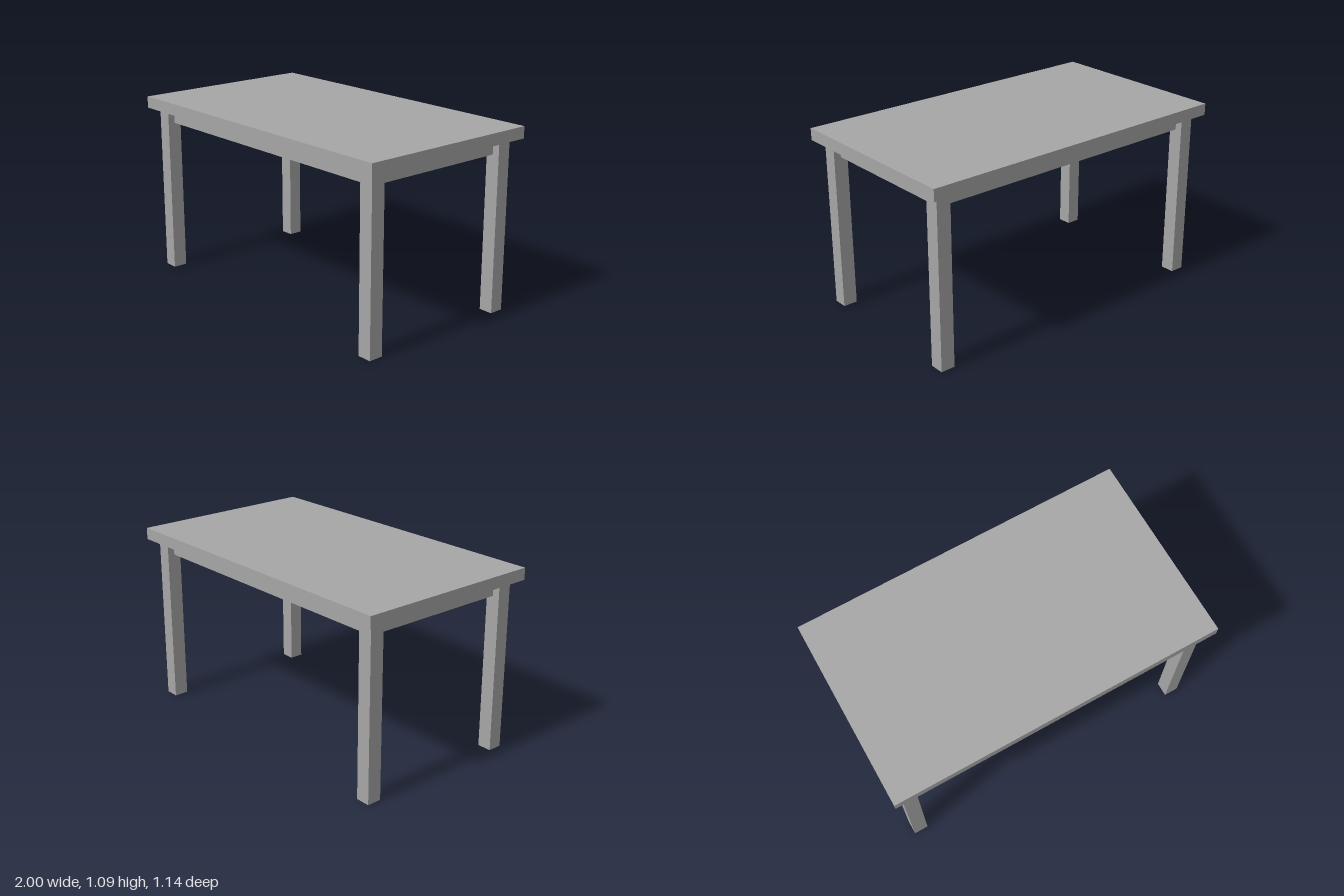
import * as THREE from 'three';

export function createModel() {
  const table = new THREE.Group();
  table.name = 'table';
  const grey = new THREE.MeshStandardMaterial({ color: 0xa6a6a6 });
  grey.name = 'grey';

  // Box standing on height y
  const addBox = (name, w, h, d, x, y, z) => {
    const mesh = new THREE.Mesh(new THREE.BoxGeometry(w, h, d), grey);
    mesh.name = name;
    mesh.position.set(x, y + h / 2, z);
    table.add(mesh);
  };

  const legHeight = 1.017, legSize = 0.086;
  const legX = 0.903, legZ = 0.475;
  const apronHeight = 0.086;

  // Table top
  addBox('tableTop', 2, 0.07, 1.144, 0, legHeight, 0);

  // Solid apron block, its faces meeting the legs at their middles
  addBox('apron', legX * 2, apronHeight, legZ * 2, 0, legHeight - apronHeight, 0);

  // Four square legs
  for (const [side, sx] of [['Left', 1], ['Right', -1]]) {
    for (const [end, sz] of [['front', 1], ['back', -1]]) {
      addBox(`${end}${side}Leg`, legSize, legHeight, legSize, sx * legX, 0, sz * legZ);
    }
  }
  return table;
}
